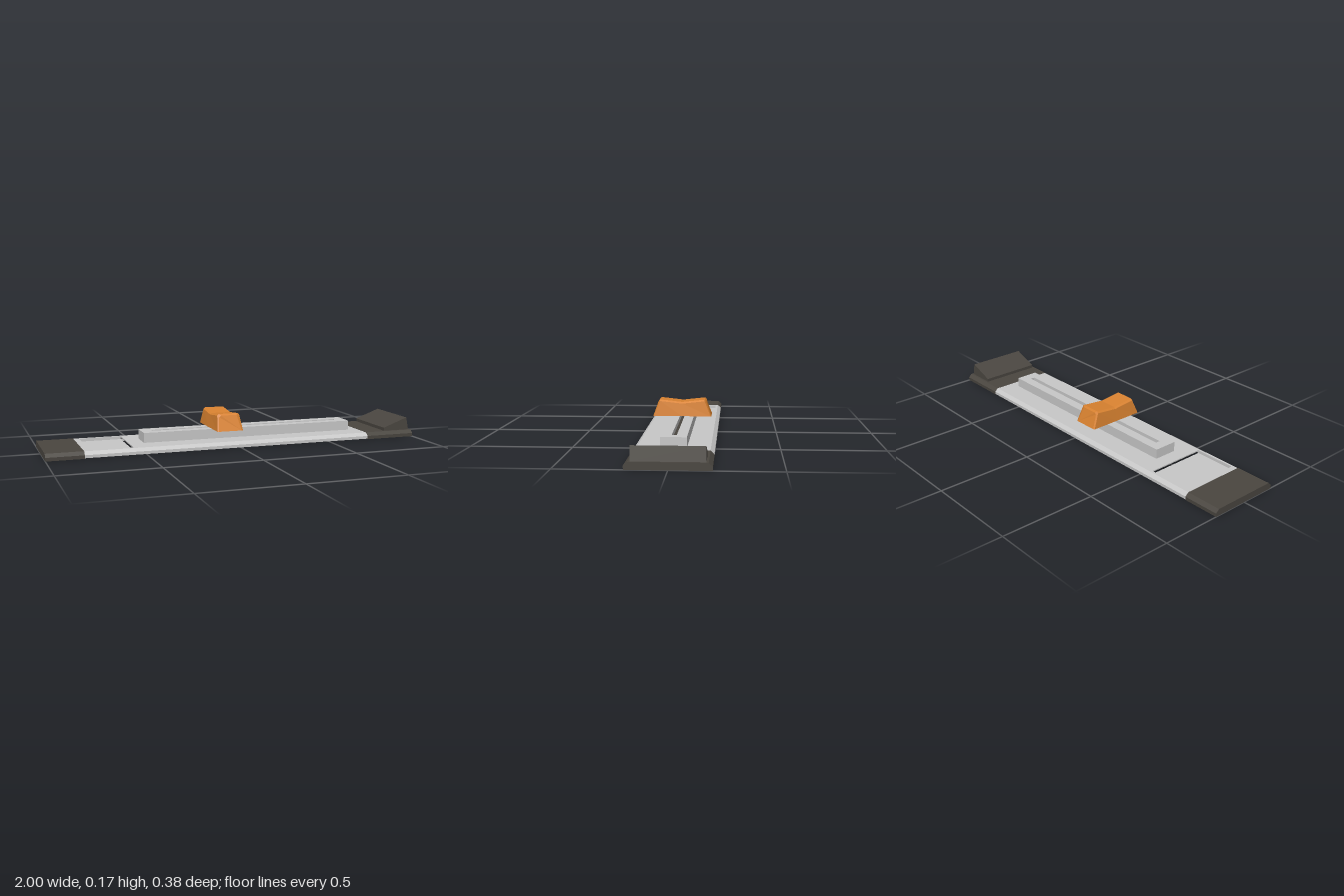
import * as THREE from 'three';

const mat = (name, color, side = THREE.FrontSide) => {
  const m = new THREE.MeshStandardMaterial({ color, side });
  m.name = name;
  return m;
};

export function createModel() {
  const group = new THREE.Group();
  const grey = mat('lightGrey', 0xc8c8c8);
  const dark = mat('darkGrey', 0x4a4640);
  const orange = mat('orange', 0xd98230);
  const teal = mat('teal', 0x62b5b8);

  const add = (name, geometry, material) => {
    const mesh = new THREE.Mesh(geometry, material);
    mesh.name = name;
    group.add(mesh);
    return mesh;
  };
  const shapeOf = pts => new THREE.Shape(pts.map(p => new THREE.Vector2(...p)));

  // Prism along x from half a (z, y) profile, mirrored across z = 0
  const prism = (name, half, x0, x1, material) => {
    const pts = [...half, ...half.slice().reverse().map(([z, y]) => [-z, y])];
    const g = new THREE.ExtrudeGeometry(shapeOf(pts), { depth: x1 - x0, bevelEnabled: false });
    g.rotateY(Math.PI / 2).translate(x0, 0, 0);
    return add(name, g, material);
  };
  const box = (name, x0, x1, y0, y1, z, material) => {
    const g = new THREE.BoxGeometry(x1 - x0, y1 - y0, 2 * z);
    g.translate((x0 + x1) / 2, (y0 + y1) / 2, 0);
    return add(name, g, material);
  };

  // Base plate: a thin shell, open below, with a sunken tray near one end
  const solid = [[0.19, 0.003], [0.19, 0.018], [0.172, 0.034]];
  const shell = [[0.184, 0.003], [0.19, 0.003], [0.19, 0.018], [0.172, 0.034]];
  const inner = [[0.166, 0.028], [0.184, 0.014]];
  const wrap = (outer, inside) => {
    // closed half outline: outer run up to the middle, inner run back down
    const right = [...outer];
    const left = outer.slice().reverse().map(([z, y]) => [-z, y]);
    return [...right, ...left, ...inside.slice().reverse().map(([z, y]) => [-z, y]), ...inside];
  };
  const shellPrism = (name, outer, inside, x0, x1) => {
    const g = new THREE.ExtrudeGeometry(shapeOf(wrap(outer, inside)), { depth: x1 - x0, bevelEnabled: false });
    g.rotateY(Math.PI / 2).translate(x0, 0, 0);
    add(name, g, grey);
  };
  prism('plateEndWall', solid, -0.815, -0.808, grey);
  shellPrism('plateRim', shell, inner, -0.808, -0.78);
  shellPrism('plateTray', [...shell, [0.16, 0.034], [0.16, 0.018]],
    [[0.166, 0.013], [0.184, 0.012]], -0.78, -0.56);
  shellPrism('plateDeck', shell, inner, -0.56, 0.725);

  // Dark end caps
  const cap = [[0.19, 0], [0.191, 0.018], [0.173, 0.035]];
  prism('leftCap', cap, 0.725, 1, dark);
  prism('rightCap', cap, -1, -0.81, dark);
  box('undersideStrip', 0.695, 0.725, 0.002, 0.006, 0.183, teal);

  // Raised wedge on one cap
  const wedge = new THREE.ExtrudeGeometry(
    shapeOf([[0.838, 0.034], [0.99, 0.034], [0.976, 0.102], [0.838, 0.052]]),
    { depth: 0.326, bevelEnabled: false });
  add('wedge', wedge.translate(0, 0, -0.163), dark);

  // Slider track with a long slot
  const rect = (x0, x1, z) => [[x0, -z], [x1, -z], [x1, z], [x0, z]];
  const trackShape = shapeOf(rect(-0.485, 0.67, 0.062));
  trackShape.holes.push(new THREE.Path(rect(-0.43, 0.615, 0.012).map(p => new THREE.Vector2(...p))));
  const track = new THREE.ExtrudeGeometry(trackShape, { depth: 0.051, bevelEnabled: false });
  add('track', track.rotateX(-Math.PI / 2).translate(0, 0.034, 0), grey);
  box('slotFloor', -0.43, 0.615, 0.034, 0.06, 0.012, dark);

  // Slider knob: chamfered sections lofted along z, dipping in the middle
  // station: [bottom z, top z, top height, inset]
  const half = [[0.155, 0.127, 0.164, 0.008], [0.151, 0.119, 0.172, 0]];
  const stations = [
    ...half.map(([a, b, y, i]) => [-a, -b, y, i]),
    [0, 0, 0.159, 0],
    ...half.slice().reverse(),
  ];
  const pos = [], index = [], n = 6;
  for (const [zb, zt, top, inset] of stations) {
    const ring = [[0.07, 0.085, zb], [0.06, top - 0.008, zt], [0.051, top, zt]];
    for (const [x, y, z] of ring) pos.push(x - inset - 0.05, y, z);
    for (const [x, y, z] of ring.reverse()) pos.push(-x + inset - 0.05, y, z);
  }
  const last = (stations.length - 1) * n;
  for (let s = 0; s < stations.length - 1; s++) {
    for (let i = 0; i < n; i++) {
      const a = s * n + i, b = s * n + (i + 1) % n;
      index.push(a, b, b + n, a, b + n, a + n);
    }
  }
  for (let i = 1; i < n - 1; i++) {
    index.push(0, i + 1, i, last, last + i, last + i + 1);
  }
  let knob = new THREE.BufferGeometry();
  knob.setAttribute('position', new THREE.Float32BufferAttribute(pos, 3));
  knob.setIndex(index);
  knob = knob.toNonIndexed();
  knob.computeVertexNormals();
  add('sliderKnob', knob, orange);

  return group;
}
